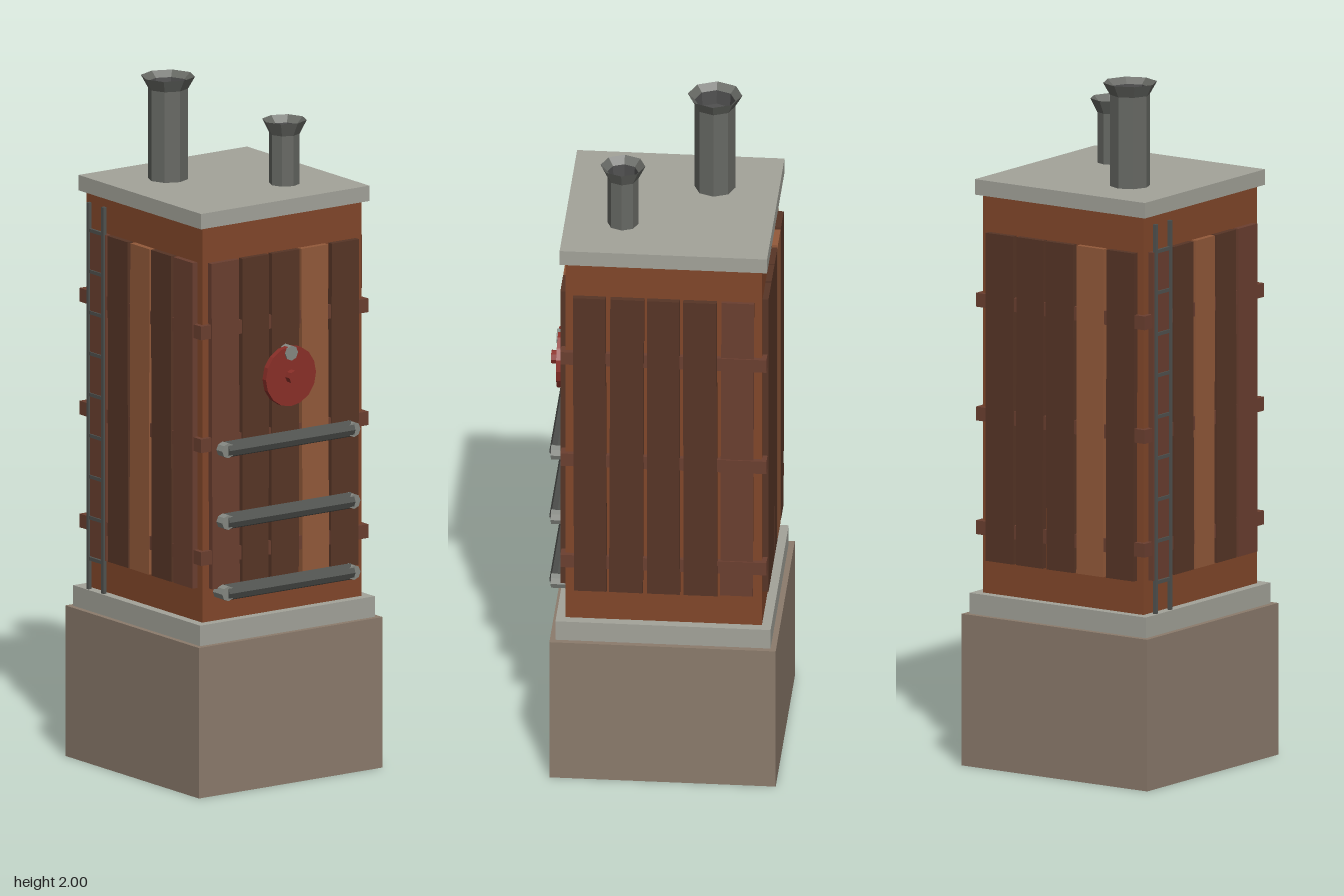
import * as THREE from 'three';

const CX = -0.012; // axis of the tower; the pipes stick out on +x
const HALF = 0.28; // half width of the timber body
const STONE = 0x8b7b6c, CONCRETE = 0xa3a39a, TIMBER = 0x82472a, IRON = 0x50524f, STEEL = 0x858882, RED = 0x8a2f28;
const DARK = 0x573526, MID = 0x6b3f30, LIGHT = 0x935a3a;

function mat(color, double = false) {
  return new THREE.MeshStandardMaterial({ color, flatShading: true, side: double ? THREE.DoubleSide : THREE.FrontSide });
}

function add(parent, name, geometry, color, x, y, z, double) {
  const mesh = new THREE.Mesh(geometry, mat(color, double));
  mesh.name = name;
  mesh.position.set(x, y, z);
  parent.add(mesh);
  return mesh;
}

function block(parent, name, color, w, y0, y1) {
  return add(parent, name, new THREE.BoxGeometry(w, y1 - y0, w), color, 0, (y0 + y1) / 2, 0);
}

// Cylinder lying along the x axis, pointing out of the right wall
function stub(parent, name, color, x0, x1, r, y, z, sides = 8) {
  const g = new THREE.CylinderGeometry(r, r, x1 - x0, sides).rotateZ(-Math.PI / 2);
  return add(parent, name, g, color, (x0 + x1) / 2, y, z);
}

// Octagonal chimney with a flared, hollow mouth
function chimney(parent, name, x, z, r, flare, top, lip) {
  const g = new THREE.Group();
  g.name = name;
  g.position.set(x, 0, z);
  const outer = [[r, 1.69], [r, top - lip], [flare, top], [r, top - lip * 0.5]];
  const inner = [[r, top - lip * 0.5], [r * 0.96, top - 0.06], [0, top - 0.06]];
  const lathe = pts => new THREE.LatheGeometry(pts.map(p => new THREE.Vector2(...p)), 8);
  add(g, 'chimneyPipe', lathe(outer), 0x666863, 0, 0, 0, true);
  add(g, 'chimneyInside', lathe(inner), 0x505050, 0, 0, 0, true);
  parent.add(g);
}

export function createModel() {
  const model = new THREE.Group();
  model.name = 'boilerTower';
  const tower = new THREE.Group();
  tower.name = 'tower';
  tower.position.x = CX;
  model.add(tower);

  // Stacked main blocks
  block(tower, 'stoneBase', STONE, 0.646, 0, 0.44);
  block(tower, 'baseSlab', CONCRETE, 0.614, 0.44, 0.5);
  block(tower, 'timberBody', TIMBER, HALF * 2, 0.5, 1.655);
  block(tower, 'roofSlab', CONCRETE, 0.592, 1.655, 1.7);

  // Battens around all four walls
  for (const y of [0.69, 1.02, 1.35]) block(tower, 'batten', MID, 0.588, y - 0.02, y + 0.02);

  // Five planks per wall: front, right, back, left
  const walls = [
    [MID, DARK, LIGHT, DARK, MID],
    [MID, DARK, DARK, LIGHT, DARK],
    [DARK, DARK, DARK, DARK, MID],
    [DARK, DARK, DARK, LIGHT, DARK],
  ];
  walls.forEach((colors, w) => {
    const wall = new THREE.Group();
    wall.name = ['frontPlanks', 'rightPlanks', 'backPlanks', 'leftPlanks'][w];
    wall.rotation.y = w * Math.PI / 2;
    colors.forEach((c, i) => {
      const proud = w === 2 && i === 4 ? 0.01 : 0.017;
      const wide = 0.093 + 0.003 * ((i + w) % 2);
      const plank = add(wall, 'plank', new THREE.BoxGeometry(wide, 0.952, proud), c,
        (i - 2) * 0.105, 1.073, HALF + proud / 2);
      plank.rotation.z = 0.004 * Math.sin(i * 2.3 + w);
    });
    tower.add(wall);
  });

  // Ladder on the front
  const ladder = new THREE.Group();
  ladder.name = 'ladder';
  for (const x of [-0.257, -0.185])
    add(ladder, 'ladderRail', new THREE.BoxGeometry(0.011, 1.13, 0.01), IRON, x, 1.065, 0.297);
  for (let i = 0; i < 9; i++)
    add(ladder, 'ladderRung', new THREE.BoxGeometry(0.072, 0.01, 0.008), IRON, -0.221, 0.59 + i * 0.12, 0.297);
  model.add(ladder);

  // Three pipes on the right wall, with ends turned into the wall
  for (const y of [0.585, 0.793, 1.003]) {
    const pipe = new THREE.Group();
    pipe.name = 'wallPipe';
    const tube = new THREE.CylinderGeometry(0.024, 0.024, 0.442, 8).rotateX(Math.PI / 2);
    add(pipe, 'pipeTube', tube, IRON, 0.296, y, 0);
    for (const s of [-1, 1]) {
      stub(pipe, 'pipeEnd', STEEL, 0.262, 0.314, 0.022, y, s * 0.221);
    }
    stub(pipe, 'pipeBracket', STEEL, 0.262, 0.3, 0.02, y, 0);
    model.add(pipe);
  }

  // Red valve wheel with hub and grey clamp
  const valve = new THREE.Group();
  valve.name = 'valve';
  stub(valve, 'valveWheel', RED, 0.295, 0.312, 0.088, 1.19, 0, 16);
  stub(valve, 'valveHub', RED, 0.262, 0.332, 0.02, 1.19, 0);
  stub(valve, 'valveClamp', STEEL, 0.262, 0.316, 0.022, 1.258, 0);
  model.add(valve);

  chimney(model, 'largeChimney', -0.125, 0.115, 0.058, 0.078, 2.0, 0.035);
  chimney(model, 'smallChimney', 0.118, -0.118, 0.044, 0.064, 1.887, 0.04);
  return model;
}
